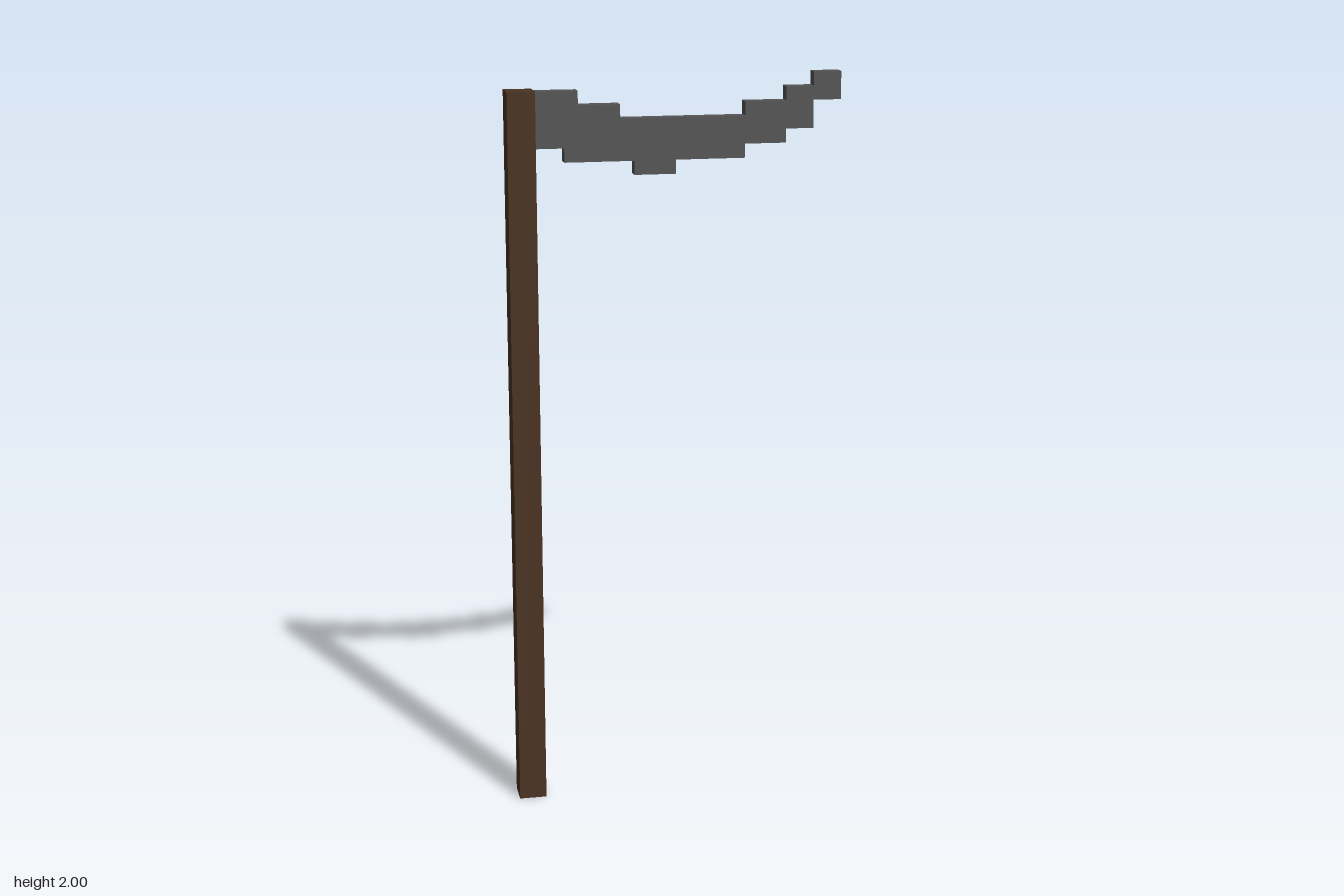
import * as THREE from 'three';

const U = 2 / 54; // one block of the stepped grid

export function createModel() {
  const model = new THREE.Group();
  model.name = 'scythe';
  const wood = new THREE.MeshStandardMaterial({ color: 0x4a3322 });
  wood.name = 'dark wood';
  const metal = new THREE.MeshStandardMaterial({ color: 0x555556 });
  metal.name = 'grey metal';

  // Square pole, two blocks thick
  const pole = new THREE.Mesh(new THREE.BoxGeometry(2 * U, 53 * U, 2 * U), wood);
  pole.name = 'pole';
  pole.position.set(-11 * U, 26.5 * U, 0);
  model.add(pole);

  // Blade outline as steps: [x start, x end, height], in blocks
  const bottom = [[-10, -8, 49], [-8, -3, 48], [-3, 0, 47], [0, 5, 48], [5, 8, 49], [8, 10, 50], [10, 12, 52]];
  const top = [[-10, -7, 53], [-7, -4, 52], [-4, 5, 51], [5, 8, 52], [8, 10, 53], [10, 12, 54]];
  const edge = (steps) => steps.flatMap(([a, b, y]) =>
    [new THREE.Vector2(a * U, y * U), new THREE.Vector2(b * U, y * U)]);
  const outline = new THREE.Shape([...edge(bottom), ...edge(top).reverse()]);

  // Blade, one block thick, flush with the front of the pole
  const blade = new THREE.Mesh(
    new THREE.ExtrudeGeometry(outline, { depth: U, bevelEnabled: false }), metal);
  blade.name = 'blade';
  model.add(blade);

  return model;
}
